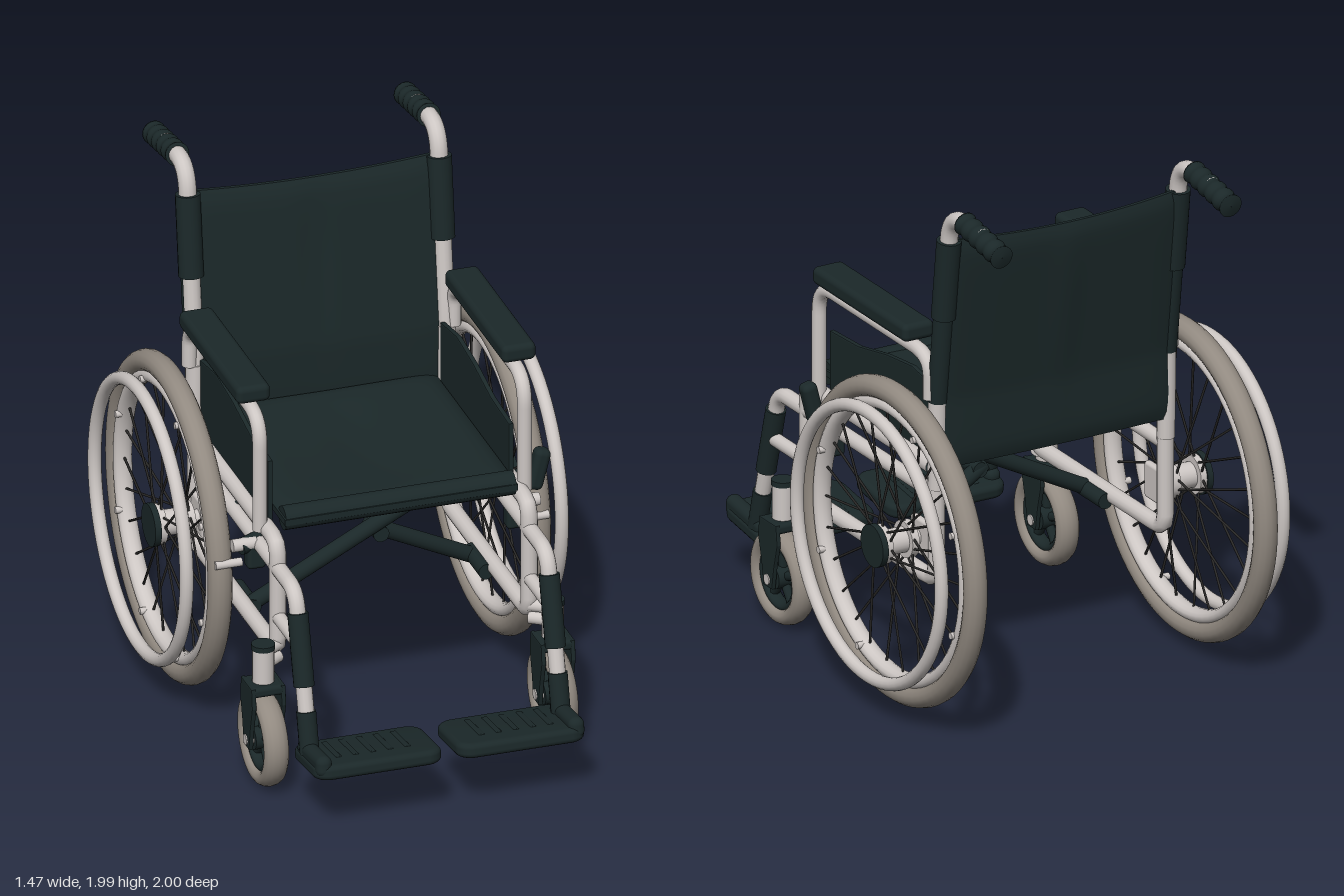
import * as THREE from 'three';
import { mergeVertices, toCreasedNormals } from 'three/addons/utils/BufferGeometryUtils.js';
import { RoundedBoxGeometry } from 'three/addons/geometries/RoundedBoxGeometry.js';

const V = (x, y, z) => new THREE.Vector3(x, y, z);
const material = (name, color) => {
  const m = new THREE.MeshStandardMaterial({ color });
  m.name = name;
  return m;
};

// Path through corner points with each corner rounded off
function roundedPath(pts, bend) {
  const path = new THREE.CurvePath();
  let from = pts[0];
  for (let i = 1; i < pts.length - 1; i++) {
    const p = pts[i];
    const cut = (q) => p.clone().add(q.clone().sub(p).setLength(Math.min(bend, q.distanceTo(p) * 0.48)));
    const a = cut(pts[i - 1]), b = cut(pts[i + 1]);
    path.add(new THREE.LineCurve3(from, a));
    path.add(new THREE.QuadraticBezierCurve3(a, p, b));
    from = b;
  }
  path.add(new THREE.LineCurve3(from, pts[pts.length - 1]));
  return path;
}

// Soft upholstery: a box whose thickness tapers at its edges, then bent by a rule
function cushion(w, t, d, rule) {
  const g = new THREE.BoxGeometry(w, t, d, 36, 1, 28);
  const p = g.attributes.position;
  for (let i = 0; i < p.count; i++) {
    const u = p.getX(i) / (w / 2), v = p.getZ(i) / (d / 2);
    const edge = Math.sqrt(Math.max(0.08, (1 - u ** 12) * (1 - v ** 12)));
    p.setXYZ(i, ...rule(p.getX(i), p.getY(i) * edge, p.getZ(i), u, v));
  }
  g.deleteAttribute('normal');
  g.deleteAttribute('uv');
  return toCreasedNormals(mergeVertices(g), 0.9);
}

// Plate drawn in the side plane (z, y), with its thickness along x
function sidePlate(points, thick) {
  const shape = new THREE.Shape(points.map(([z, y]) => new THREE.Vector2(z, y)));
  const bevel = thick * 0.25;
  const g = new THREE.ExtrudeGeometry(shape, {
    depth: thick - 2 * bevel, bevelThickness: bevel, bevelSize: bevel, bevelOffset: -bevel, bevelSegments: 2,
  });
  return g.translate(0, 0, -thick / 2 + bevel).rotateY(-Math.PI / 2);
}

export function createModel() {
  const dark = material('dark upholstery and plastic', 0x1b2829);
  const light = material('light metal', 0xcdc7c4);
  const rubber = material('grey rubber', 0x928a81);
  const spokeMat = material('spoke metal', 0x292827);
  const root = new THREE.Group();
  root.name = 'wheelchair';

  const add = (parent, name, geo, mat, x = 0, y = 0, z = 0) => {
    const m = new THREE.Mesh(geo, mat);
    m.name = name;
    m.position.set(x, y, z);
    parent.add(m);
    return m;
  };
  const tube = (parent, name, pts, r, mat, bend = 0.09) =>
    add(parent, name, new THREE.TubeGeometry(roundedPath(pts, bend), 72, r, 14), mat);
  const bar = (parent, name, a, b, r, mat, sides = 16) => {
    const dir = b.clone().sub(a);
    const m = add(parent, name, new THREE.CylinderGeometry(r, r, dir.length(), sides), mat);
    m.position.copy(a).add(b).multiplyScalar(0.5);
    m.quaternion.setFromUnitVectors(V(0, 1, 0), dir.normalize());
    return m;
  };
  const ring = (parent, name, R, r, mat, x, widen = 1, y = 0) =>
    add(parent, name, new THREE.TorusGeometry(R, r, 14, 72).scale(1, 1, widen).rotateY(Math.PI / 2), mat, x, y);
  const box = (parent, name, w, h, d, r, mat, x, y, z) =>
    add(parent, name, new RoundedBoxGeometry(w, h, d, 4, r), mat, x, y, z);

  // Seat with a gentle sag, a soft middle fold and a rolled front edge
  add(root, 'seat', cushion(0.88, 0.085, 0.92, (x, y, z, u, v) =>
    [x, y - (0.02 * (1 - u * u) + 0.008 * Math.exp(-((x / 0.1) ** 2))) * (1 - v * v), z]), dark, 0, 0.985, -0.04);
  bar(root, 'seatFrontRoll', V(-0.435, 0.985, 0.375), V(0.435, 0.985, 0.375), 0.045, dark);

  // Backrest stretched behind the push tubes, dipping along its top with a middle fold
  add(root, 'backrest', cushion(1.0, 0.05, 0.92, (x, y, z, u, v) => {
    const h = 1.39 - z, sag = 1 - u * u, upper = (1 - v) / 2;
    const lean = -0.49 - 0.127 * Math.max(0, h - 1.2);
    const fold = 0.05 * Math.exp(-((x / 0.06) ** 2)) * upper * upper * (1 - upper);
    return [x, h - 0.03 * sag * upper, lean + y - 0.012 * sag - fold];
  }), dark);

  // Folding cross brace
  bar(root, 'crossBraceLong', V(-0.44, 0.48, 0.04), V(0.43, 0.93, 0.04), 0.03, dark);
  bar(root, 'crossBraceLower', V(0.02, 0.69, -0.03), V(0.44, 0.47, -0.08), 0.03, dark);
  bar(root, 'crossBraceUpper', V(-0.47, 0.82, -0.04), V(-0.26, 0.93, -0.04), 0.03, dark);
  bar(root, 'crossBracePivot', V(0.05, 0.68, -0.06), V(0.05, 0.68, 0.05), 0.03, dark);
  for (const s of [1, -1]) bar(root, 'braceFoot', V(s * 0.44, 0.475, -0.11), V(s * 0.44, 0.475, 0.07), 0.03, dark);

  for (const s of [1, -1]) {
    const side = new THREE.Group();
    side.name = s > 0 ? 'leftSide' : 'rightSide';
    root.add(side);
    const P = (x, y, z) => V(s * x, y, z);
    const X = 0.475;

    // Side frame
    tube(side, 'pushTube', [P(X, 0.85, -0.475), P(X, 1.2, -0.48), P(X, 1.95, -0.575), P(X, 1.935, -0.8)], 0.033, light, 0.1);
    tube(side, 'lowerFrame', [P(X, 0.95, -0.47), P(X, 0.49, -0.47), P(X, 0.49, 0.44), P(X, 0.925, 0.44), P(X, 0.925, -0.45)], 0.031, light, 0.06);
    bar(side, 'middleRail', P(X, 0.825, -0.47), P(X, 0.825, 0.44), 0.028, light);
    bar(side, 'backPost', P(X, 0.92, -0.475), P(X, 1.2, -0.48), 0.035, light);

    // Ribbed hand grip
    const profile = [new THREE.Vector2(0.001, 0)];
    for (let i = 0; i <= 40; i++)
      profile.push(new THREE.Vector2(0.042 + 0.0028 * Math.cos(i / 40 * Math.PI * 10), 0.004 + i / 40 * 0.262));
    profile.push(new THREE.Vector2(0.001, 0.27));
    const grip = add(side, 'handGrip', new THREE.LatheGeometry(profile, 20), dark, s * X, 1.945, -0.67);
    grip.quaternion.setFromUnitVectors(V(0, 1, 0), V(0, -0.15, -1).normalize());

    // Upholstery sleeve, with the backrest edge wrapped round the outside of the tube below it
    bar(side, 'backSleeve', P(X, 1.53, -0.522), P(X, 1.84, -0.561), 0.046, dark);
    const arc = Math.PI - 0.7, start = s > 0 ? 1.2 : 2 * Math.PI - 1.2 - arc;
    const wrap = add(side, 'backrestWrap', new THREE.CylinderGeometry(0.038, 0.038, 0.36, 16, 1, true, start, arc), dark, s * X, 1.37, -0.5015);
    wrap.rotation.x = -0.126;

    // Armrest and clothing guard
    tube(side, 'armrestTube', [P(0.5, 0.92, 0.315), P(0.5, 1.365, 0.315), P(0.5, 1.365, -0.47), P(0.5, 1.2, -0.47)], 0.027, light, 0.11);
    box(side, 'armrestPad', 0.128, 0.068, 0.66, 0.022, dark, s * 0.502, 1.432, -0.07);
    add(side, 'clothingGuard', sidePlate([[0.3, 0.91], [0.3, 1.18], [0.1, 1.19], [-0.1, 1.23], [-0.28, 1.25], [-0.46, 1.22], [-0.46, 0.91]], 0.02), dark, s * 0.455);

    // Footrest hanger
    tube(side, 'footrestHanger', [P(X, 0.825, 0.42), P(X, 0.825, 0.64), P(X, 0.36, 0.765)], 0.03, light, 0.07);
    bar(side, 'hangerBrace', P(X, 0.63, 0.44), P(X, 0.63, 0.69), 0.026, light);
    bar(side, 'hangerSleeve', P(X, 0.75, 0.662), P(X, 0.49, 0.732), 0.038, dark);
    bar(side, 'footplateBracket', P(X, 0.4, 0.755), P(X, 0.22, 0.8), 0.036, dark);

    // Footplate with shallow ribs, tilted up at the toe, and its outer hinge block
    const foot = new THREE.Group();
    foot.name = 'footplate';
    foot.position.set(s * 0.27, 0.237, 0.84);
    foot.rotation.x = -0.13;
    side.add(foot);
    const w = 0.2, d = 0.11, outline = new THREE.Shape();
    outline.absarc(w - 0.02, d - 0.02, 0.04, 0, Math.PI / 2);
    outline.absarc(-w + 0.02, d - 0.02, 0.04, Math.PI / 2, Math.PI);
    outline.absarc(-w + 0.02, -d + 0.02, 0.04, Math.PI, Math.PI * 1.5);
    outline.absarc(w - 0.02, -d + 0.02, 0.04, Math.PI * 1.5, Math.PI * 2);
    const plate = new THREE.ExtrudeGeometry(outline, { depth: 0.016, bevelThickness: 0.02, bevelSize: 0.022, bevelSegments: 4, curveSegments: 8 });
    add(foot, 'footplateBase', toCreasedNormals(plate.translate(0, 0, -0.008).rotateX(Math.PI / 2), 0.7), dark);
    for (let i = -2; i <= 2; i++) box(foot, 'footplateRib', 0.022, 0.01, 0.17, 0.004, dark, i * 0.065, 0.026, -0.02);
    box(foot, 'footplateHinge', 0.06, 0.08, 0.25, 0.028, dark, s * 0.207, 0.022, 0.02);

    // Front caster
    const caster = new THREE.Group();
    caster.name = 'caster';
    caster.position.set(s * 0.547, 0.18, 0.49);
    side.add(caster);
    ring(caster, 'casterTyre', 0.147, 0.033, rubber, 0, 1.4);
    ring(caster, 'casterRim', 0.113, 0.018, dark, 0, 1.6);
    bar(caster, 'casterHub', V(-0.04, 0, 0), V(0.04, 0, 0), 0.042, dark, 24);
    bar(caster, 'casterBolt', V(-0.07, 0, 0), V(0.07, 0, 0), 0.02, light);
    for (let i = 0; i < 5; i++) {
      const a = i / 5 * Math.PI * 2 + Math.PI / 2;
      bar(caster, 'casterSpoke', V(0, 0, 0), V(0, Math.sin(a) * 0.115, Math.cos(a) * 0.115), 0.018, dark, 8);
    }
    for (const x of [-0.056, 0.056])
      add(caster, 'forkBlade', sidePlate([[-0.03, -0.03], [0.03, -0.03], [0.045, 0.06], [0.068, 0.15], [0.06, 0.225], [-0.06, 0.225], [-0.068, 0.15], [-0.045, 0.06]], 0.018), dark, x);
    box(caster, 'forkCrown', 0.125, 0.04, 0.125, 0.015, dark, 0, 0.207, 0);
    bar(caster, 'casterStem', V(0, 0.22, 0), V(0, 0.355, 0), 0.04, light, 20);
    bar(caster, 'casterStemCap', V(0, 0.355, 0), V(0, 0.375, 0), 0.043, dark, 20);
    for (const y of [0.47, 0.52]) bar(side, 'casterMount', P(0.547, y, 0.49), P(X, y, 0.44), 0.025, light);

    // Rear wheel
    const wheel = new THREE.Group();
    wheel.name = 'rearWheel';
    wheel.position.set(s * 0.602, 0.643, -0.395);
    side.add(wheel);
    ring(wheel, 'tyre', 0.568, 0.042, rubber, 0, 1.08);
    ring(wheel, 'rim', 0.515, 0.027, light, 0, 1.3);
    ring(wheel, 'handRim', 0.511, 0.025, light, s * 0.107, 1, 0.009);
    for (let i = 0; i < 8; i++) {
      const a = (i + 0.5) / 8 * Math.PI * 2;
      const stud = (x) => V(s * x, Math.sin(a) * 0.505, Math.cos(a) * 0.505);
      bar(wheel, 'rimStud', stud(0.02), stud(0.045), 0.013, light, 12);
    }

    // Hub and spokes
    const hub = new THREE.Group();
    hub.name = 'hub';
    hub.position.set(0, -0.01, 0.02);
    wheel.add(hub);
    const H = (x) => V(s * x, 0, 0);
    bar(hub, 'axle', H(-0.13), H(0.06), 0.032, light);
    bar(hub, 'hubInner', H(-0.075), H(-0.045), 0.07, light, 24);
    bar(hub, 'hubBody', H(-0.05), H(0.05), 0.048, light, 24);
    bar(hub, 'hubFlange', H(0.035), H(0.06), 0.074, light, 24);
    bar(hub, 'hubCap', H(0.06), H(0.084), 0.08, dark, 28);
    for (let i = 0; i < 26; i++) {
      const a = i / 26 * Math.PI * 2, lean = i % 4 < 2 ? 0.6 : -0.6;
      const inner = V(s * (i % 2 ? 0.045 : -0.055), Math.sin(a + lean) * 0.06, Math.cos(a + lean) * 0.06);
      bar(hub, 'spoke', inner, V(0, Math.sin(a) * 0.5 + 0.01, Math.cos(a) * 0.5 - 0.02), 0.0047, spokeMat, 6);
    }
    box(side, 'axlePlate', 0.03, 0.14, 0.17, 0.012, light, s * 0.485, 0.635, -0.41);

    // Wheel brake
    box(side, 'brakeClamp', 0.07, 0.12, 0.06, 0.015, dark, s * 0.49, 0.79, 0.23);
    bar(side, 'brakeArm', P(0.49, 0.83, 0.24), P(0.58, 0.83, 0.24), 0.024, light);
    bar(side, 'brakeShoe', P(0.53, 0.74, 0.2), P(0.63, 0.74, 0.2), 0.016, light);
    if (s > 0) {
      const lever = box(side, 'brakeLever', 0.06, 0.16, 0.06, 0.022, dark, 0.578, 0.95, 0.235);
      lever.rotation.z = -0.25;
    } else {
      bar(side, 'brakeLever', V(-0.55, 0.82, 0.24), V(-0.42, 0.84, 0.2), 0.03, dark);
    }
  }
  return root;
}
